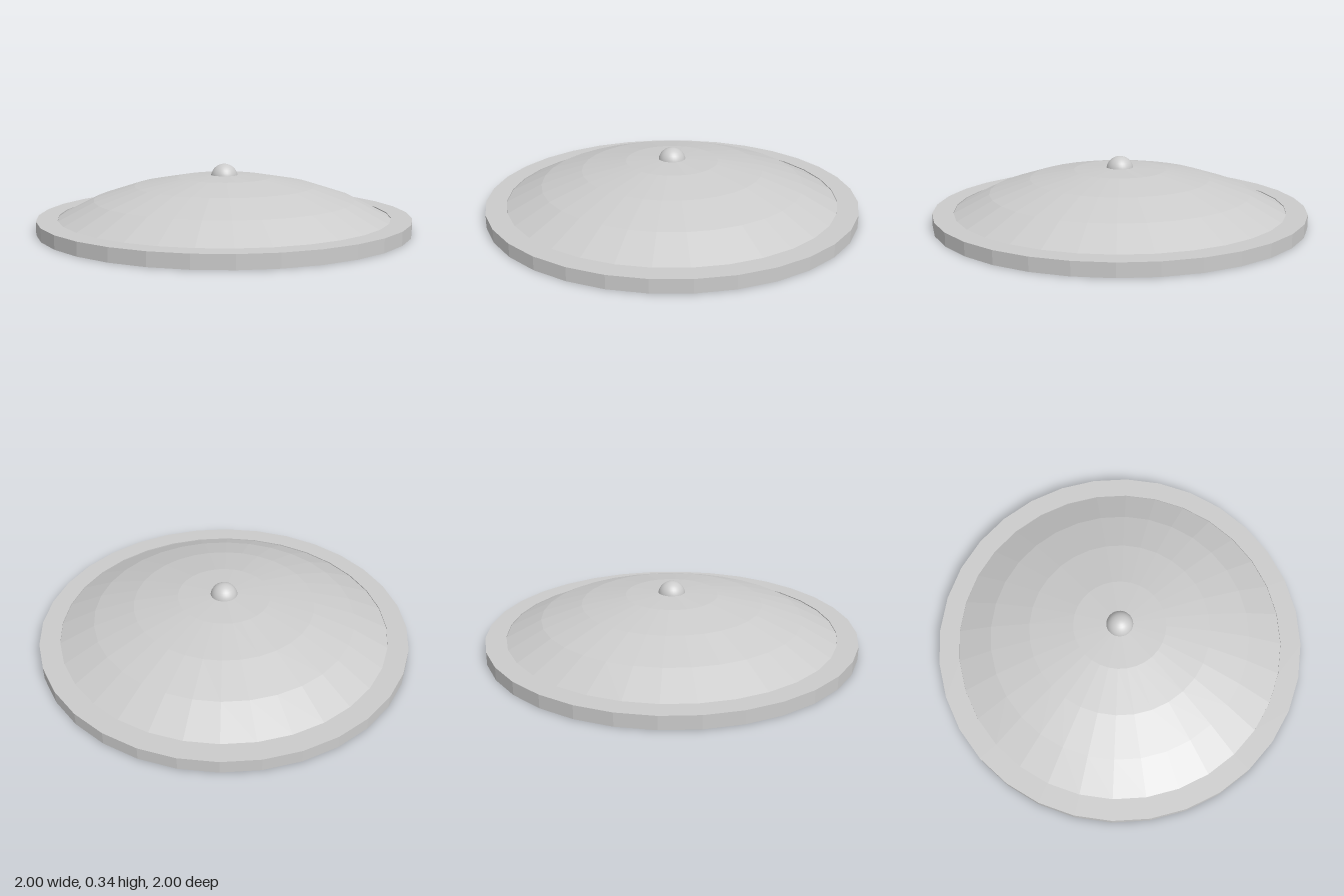
import * as THREE from 'three';

const SIDES = 32;

export function createModel() {
  const model = new THREE.Group();
  const flat = new THREE.MeshStandardMaterial({ color: 0xcccccc, flatShading: true });
  const smooth = new THREE.MeshStandardMaterial({ color: 0xcccccc });

  const add = (name, geometry, material, x = 0, y = 0, z = 0, parent = model) => {
    const mesh = new THREE.Mesh(geometry, material);
    mesh.name = name;
    mesh.position.set(x, y, z);
    parent.add(mesh);
    return mesh;
  };
  const lathe = (points) =>
    new THREE.LatheGeometry(points.map(([r, y]) => new THREE.Vector2(r, y)), SIDES);

  // Flat outer band with a square section
  add('rim', lathe([[0.89, 0], [1, 0], [1, 0.07], [0.89, 0.07], [0.89, 0]]), flat);

  // Flattened spherical cap in four steps, from apex to edge
  const cap = (radius, apex, edge) => {
    const steps = 4, angle = 0.817;
    return Array.from({ length: steps + 1 }, (_, i) => {
      const a = (angle * i) / steps;
      const drop = (1 - Math.cos(a)) / (1 - Math.cos(angle));
      return [(radius * Math.sin(a)) / Math.sin(angle), apex - (apex - edge) * drop];
    });
  };

  // Hollow dome: inner skin outwards, flat lip, outer skin back to the apex
  add('dome', lathe([...cap(0.83, 0.25, 0.065), ...cap(0.89, 0.287, 0.065).reverse()]), flat);

  // Round boss through the middle
  add('boss', new THREE.SphereGeometry(0.073, 32, 16), smooth, 0, 0.27, 0);

  // Grip on the inside: a flat bar on two posts
  const handle = new THREE.Group();
  handle.name = 'handle';
  model.add(handle);
  add('gripBar', new THREE.BoxGeometry(0.1, 0.015, 0.33), flat, 0, 0.173, 0, handle);
  for (const side of [-1, 1]) {
    add('gripPost', new THREE.BoxGeometry(0.1, 0.085, 0.015), flat, 0, 0.208, side * 0.1575, handle);
  }

  return model;
}
